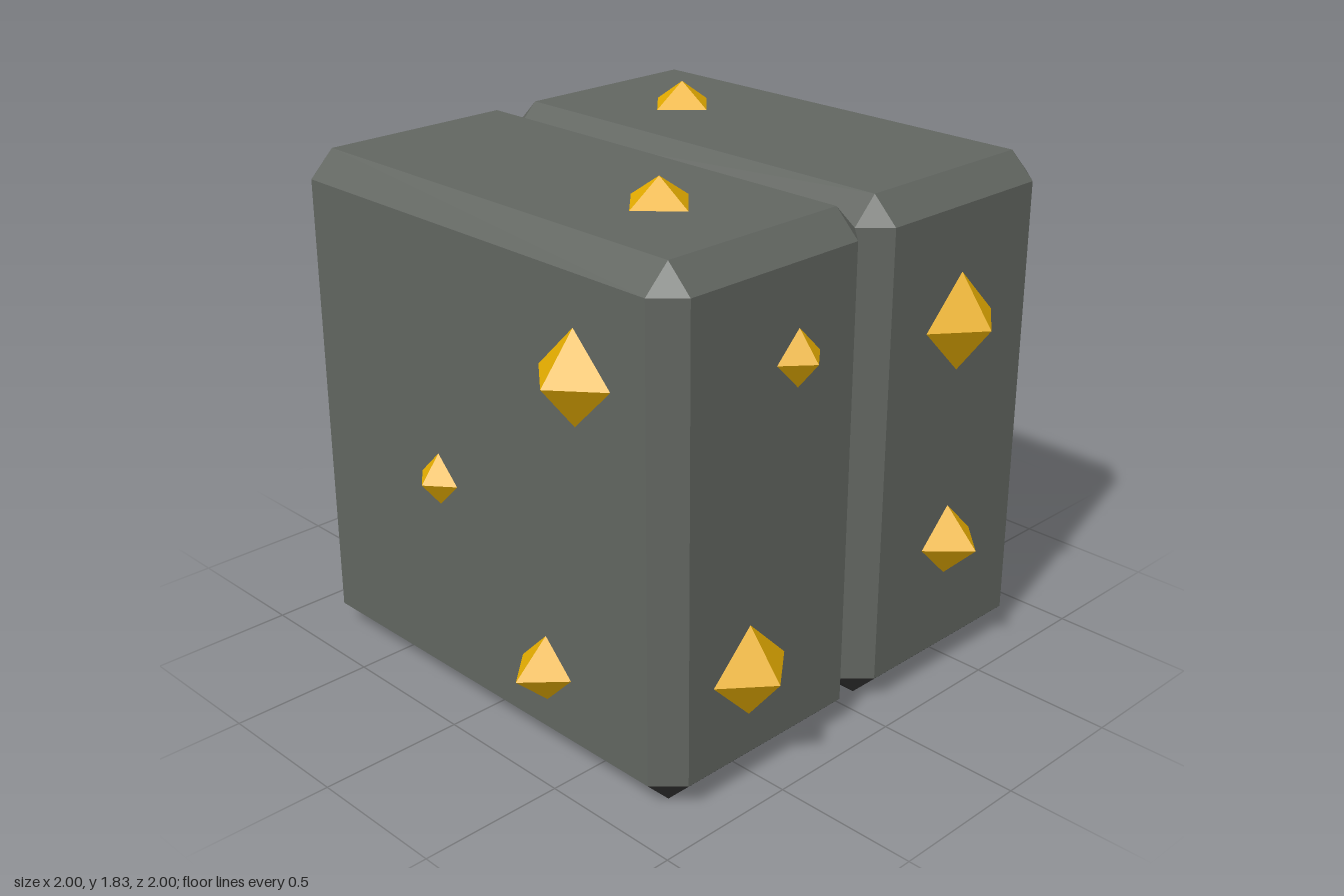
import * as THREE from 'three';
import { ConvexGeometry } from 'three/addons/geometries/ConvexGeometry.js';

function flatMaterial(name, color) {
  const material = new THREE.MeshStandardMaterial({ color, flatShading: true });
  material.name = name;
  return material;
}
const stone = flatMaterial('grey stone', 0x616560);
const darkStone = flatMaterial('dark stone', 0x333333);
const gold = flatMaterial('gold', 0xe6ad00);

const HALF = 0.873, HEIGHT = 1.75, BEVEL = 0.088;

// Box with every edge cut flat and a triangle on every corner;
// faces that point downwards use the second material
function bevelledBox(w, h, d, b) {
  const points = [];
  for (const sx of [-1, 1]) for (const sy of [-1, 1]) for (const sz of [-1, 1]) {
    for (let axis = 0; axis < 3; axis++) {
      const inset = [b, b, b];
      inset[axis] = 0;
      points.push(new THREE.Vector3(
        sx * (w / 2 - inset[0]), sy * (h / 2 - inset[1]), sz * (d / 2 - inset[2])));
    }
  }
  const geometry = new ConvexGeometry(points);
  const normals = geometry.attributes.normal;
  for (let i = 0; i < normals.count; i += 3) {
    geometry.addGroup(i, 3, normals.getY(i) < -0.1 ? 1 : 0);
  }
  return geometry;
}

// Four-sided stud whose base sits on a face and whose tip points along the normal
function stud(name, position, normal, radius, height) {
  const geometry = new THREE.ConeGeometry(radius, height, 4);
  geometry.translate(0, height / 2, 0);
  const mesh = new THREE.Mesh(geometry, gold);
  mesh.name = name;
  mesh.position.set(...position);
  if (normal === '+x') mesh.rotation.z = -Math.PI / 2;
  if (normal === '-x') mesh.rotation.z = Math.PI / 2;
  if (normal === '+z') mesh.rotation.x = Math.PI / 2;
  return mesh;
}

function createHalf(name) {
  const half = new THREE.Group();
  half.name = name;

  const block = new THREE.Mesh(bevelledBox(HALF * 2, HEIGHT, HALF, BEVEL), [stone, darkStone]);
  block.name = 'block';
  block.position.set(0, HEIGHT / 2, HALF / 2);
  half.add(block);

  // Outer face studs: x, y, radius, height
  for (const [x, y, r, h] of [
    [0.487, 1.34, 0.155, 0.127], [-0.178, 0.79, 0.09, 0.072], [0.328, 0.305, 0.115, 0.127],
  ]) half.add(stud('faceStud', [x, y, HALF], '+z', r, h));

  // Left side studs: z, y, radius, height
  for (const [z, y, r, h] of [
    [0.523, 0.385, 0.157, 0.127], [0.337, 1.362, 0.094, 0.078],
  ]) half.add(stud('leftStud', [HALF, y, z], '+x', r, h));

  // Right side studs: y, radius
  for (const [y, r] of [[1.27, 0.168], [0.485, 0.127]]) {
    half.add(stud('rightStud', [-HALF, y, 0.435], '-x', r, 0.127));
  }

  half.add(stud('topStud', [0.392, HEIGHT, 0.437], '+y', 0.123, 0.083));
  return half;
}

export function createModel() {
  const model = new THREE.Group();
  model.name = 'studdedBlock';
  const front = createHalf('frontHalf');
  const back = createHalf('backHalf');
  back.rotation.y = Math.PI; // the back half is the front half turned around
  model.add(front, back);
  return model;
}
